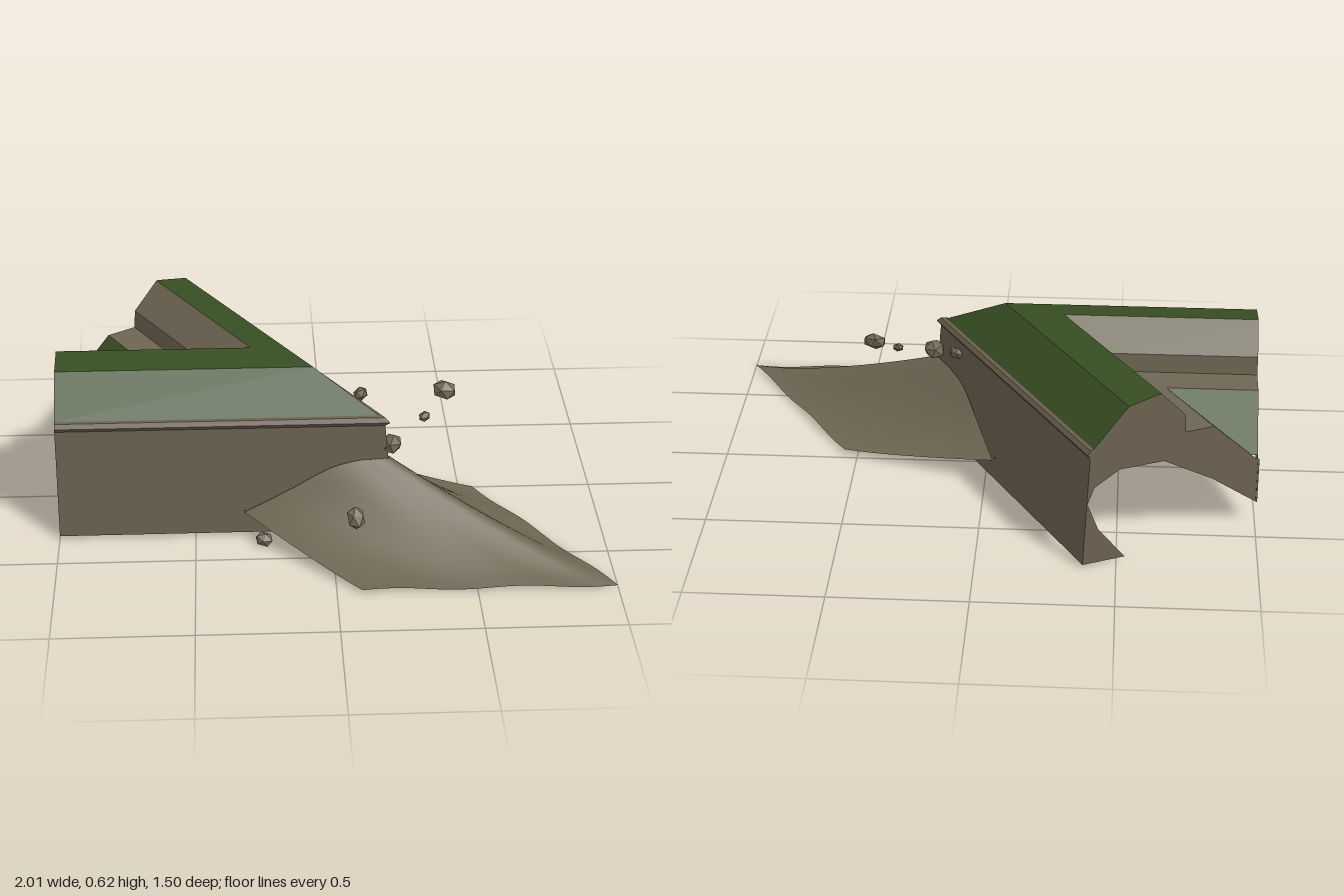
import * as THREE from 'three';

const earth = new THREE.MeshStandardMaterial({ color: 0x6b6150, side: THREE.DoubleSide });
earth.name = 'earth';
const clay = new THREE.MeshStandardMaterial({ color: 0x6e6653, side: THREE.DoubleSide });
clay.name = 'clay';
const grass = new THREE.MeshStandardMaterial({ color: 0x374e22, side: THREE.DoubleSide });
grass.name = 'grass';

// Corner of the rampart in plan; the mitre runs back from it at 30 degrees
const CX = 0.2, CZ = 0.3, END = -1;
const mitreX = z => CX + (z - CZ) * Math.sqrt(3);

// Mirror a point across the mitre plane
function mirrorPoint([x, y, z]) {
  const dx = x - CX, dz = z - CZ, c = 0.5, s = Math.sqrt(3) / 2;
  return [CX + c * dx + s * dz, y, CZ + s * dx - c * dz];
}

function meshFrom(name, points, index, material, flat) {
  let g = new THREE.BufferGeometry();
  g.setAttribute('position', new THREE.Float32BufferAttribute(points.flat(), 3));
  g.setIndex(index);
  if (flat) g = g.toNonIndexed();
  g.computeVertexNormals();
  const m = new THREE.Mesh(g, material);
  m.name = name;
  return m;
}

// Cross-section bands as [z, y], from the outer foot to the inner foot
const bands = [
  ['outerWall', earth, [[0.32, 0.01], [0.305, 0.3], [0.298, 0.43]]],
  ['lip', earth, [[0.298, 0.43], [0.308, 0.445], [0.298, 0.462], [0.285, 0.465]]],
  ['parapetTurf', grass, [[0.285, 0.465], [0.15, 0.6], [0.03, 0.62], [0.02, 0.62]]],
  ['innerWall', clay, [[0.02, 0.62], [-0.08, 0.515], [-0.085, 0.445]]],
  ['firingStep', clay, [[-0.085, 0.445], [-0.2, 0.44]]],
  ['innerTurf', grass, [[-0.2, 0.44], [-0.38, 0.27]]],
];

// Arched underside of the end faces
const arch = [[-0.4, 0.26], [-0.4, 0.08], [-0.2, 0.23], [0.0, 0.35], [0.18, 0.36],
  [0.28, 0.31], [0.305, 0.25], [0.26, 0.14], [0.15, 0.0]];

function makeWing(name, mirrored) {
  const wing = new THREE.Group();
  wing.name = name;
  const place = p => (mirrored ? mirrorPoint(p) : p);
  const wind = idx => (mirrored ? idx.reverse() : idx);

  for (const [part, material, profile] of bands) {
    const pts = [], idx = [];
    profile.forEach(([z, y], i) => {
      pts.push(place([END, y, z]), place([mitreX(z), y, z]));
      if (i) {
        const a = 2 * i - 2;
        idx.push(a, a + 1, a + 3, a, a + 3, a + 2);
      }
    });
    wing.add(meshFrom(part, pts, wind(idx), material, true));
  }

  // End face
  const outline = [...bands.flatMap(b => b[2].slice(0, -1)), [-0.38, 0.27], ...arch]
    .map(([z, y]) => new THREE.Vector2(z, y));
  const flat = new THREE.ShapeGeometry(new THREE.Shape(outline));
  const pos = flat.attributes.position, pts = [];
  for (let i = 0; i < pos.count; i++) pts.push(place([END, pos.getY(i), pos.getX(i)]));
  wing.add(meshFrom('endFace', pts, wind([...flat.index.array]), earth, true));
  return wing;
}

// Fan of fallen earth around the corner: an inner curve on the walls spread to the ground
function makeFan() {
  const v3 = a => new THREE.Vector3(...a);
  const inner = new THREE.CatmullRomCurve3([
    [-0.32, 0.10, 0.33], [-0.15, 0.19, 0.325], [0.0, 0.27, 0.315], [0.1, 0.295, 0.31],
    [0.205, 0.30, 0.30], [0.155, 0.295, 0.2], [0.1, 0.275, 0.1], [0.05, 0.21, 0.0],
    [-0.03, 0.10, -0.17]].map(v3));
  const outer = [[0.09, 0.012, 0.75], [1, 0.008, 0.75], [0.55, 0.02, 0.03]].map(v3);
  const NU = 32, NV = 10, pts = [], idx = [];
  for (let i = 0; i <= NU; i++) {
    const u = i / NU;
    const a = inner.getPoint(u);
    const b = u < 0.5 ? outer[0].clone().lerp(outer[1], u * 2)
      : outer[1].clone().lerp(outer[2], u * 2 - 1);
    b.y += 0.006 * Math.sin(u * 25);
    for (let j = 0; j <= NV; j++) {
      const v = j / NV, p = a.clone().lerp(b, v);
      p.y = Math.max(0, b.y + (a.y - b.y) * Math.pow(1 - v, 1.3));
      pts.push(p.toArray());
      if (i && j) {
        const q = i * (NV + 1) + j, r = q - NV - 1;
        idx.push(r - 1, r, q, r - 1, q, q - 1);
      }
    }
  }
  return meshFrom('earthFan', pts, idx, clay, false);
}

// Loose clods: x, y, z, radius
const clods = [
  [0.22, 0.34, 0.27, 0.052], [0.43, 0.46, 0.08, 0.047], [0.35, 0.395, 0.165, 0.023],
  [0.08, 0.16, 0.495, 0.043], [-0.25, 0.025, 0.4, 0.034], [0.12, 0.435, 0.05, 0.03],
];

export function createModel() {
  const model = new THREE.Group();
  model.name = 'earthRampartCorner';
  model.add(makeWing('frontWing', false), makeWing('backWing', true), makeFan());

  // Part of the fan buried inside the corner
  model.add(meshFrom('buriedEarth',
    [[-0.32, 0.1, 0.32], [-0.03, 0.1, -0.16], [-0.3, 0.1, 0.05], [-0.45, 0.07, 0.25]],
    [0, 1, 2, 0, 2, 3], clay, true));

  clods.forEach(([x, y, z, r], i) => {
    const clod = new THREE.Mesh(new THREE.IcosahedronGeometry(r, 0), clay);
    clod.name = 'clod' + (i + 1);
    clod.scale.set(0.85, 0.65, 1.05);
    clod.rotation.set(0.3 * i, 1.1 * i, 0.35);
    clod.position.set(x, y, z);
    model.add(clod);
  });
  return model;
}
